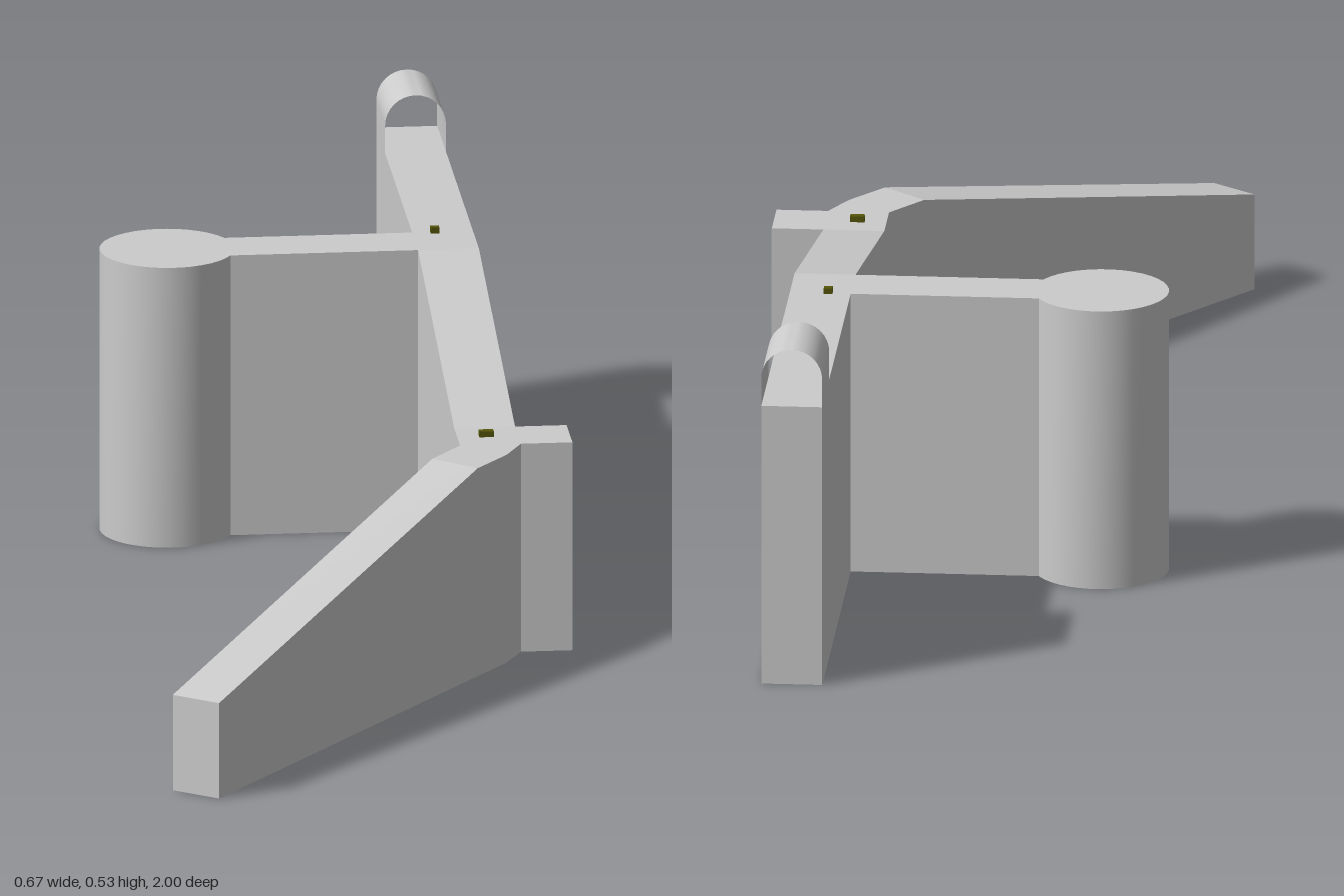
import * as THREE from 'three';
import { toCreasedNormals } from 'three/addons/utils/BufferGeometryUtils.js';

const grey = new THREE.MeshStandardMaterial({ color: 0xcccccc, side: THREE.DoubleSide });
const olive = new THREE.MeshStandardMaterial({ color: 0x55550a });

function surface(name, positions) {
  const g = new THREE.BufferGeometry();
  g.setAttribute('position', new THREE.Float32BufferAttribute(positions, 3));
  const mesh = new THREE.Mesh(toCreasedNormals(g, 0.5), grey);
  mesh.name = name;
  return mesh;
}

const quad = (a, b, c, d) => [...a, ...b, ...c, ...a, ...c, ...d];

// Upright faces below a run of [x, height, z] points
function walls(name, points) {
  const out = [];
  for (let i = 0; i + 1 < points.length; i++) {
    const p = points[i], q = points[i + 1];
    out.push(...quad([p[0], 0, p[2]], [q[0], 0, q[2]], q, p));
  }
  return surface(name, out);
}

// Top face over a loop of [x, height, z] points, facing up
function roof(name, points) {
  const flat = points.map(([x, , z]) => new THREE.Vector2(x, z));
  const out = [];
  for (const [a, b, c] of THREE.ShapeUtils.triangulateShape(flat, [])) {
    const up = THREE.ShapeUtils.area([flat[a], flat[b], flat[c]]) < 0;
    for (const i of up ? [a, b, c] : [a, c, b]) out.push(...points[i]);
  }
  return surface(name, out);
}

export function createModel() {
  const model = new THREE.Group();
  const X0 = 0.165, X1 = 0.257, HIGH = 0.44, LOW = 0.327, END = 0.15;

  // Round pier, open towards its connecting wall
  const pier = [], cx = -0.21, cz = -0.406, r = 0.102, gap = Math.asin(0.046 / r);
  for (let i = 0; i <= 32; i++) {
    const t = -gap - (i / 32) * 2 * (Math.PI - gap);
    pier.push([cx + r * Math.cos(t), HIGH, cz + r * Math.sin(t)]);
  }

  // Corners shared by walls and tops
  const spurBack = [X0, HIGH, -0.452], spurFront = [X0, HIGH, -0.36];
  const backIn = [X0, HIGH, -1], backOut = [X1, HIGH, -1];
  const slopeTop = [X1, HIGH, -0.36], slopeIn = [X0, LOW, 0.195], slopeOut = [X1, LOW, 0.195];
  const bendIn = [X0, LOW, 0.285], bendOut = [0.23, LOW, 0.34];
  const wingIn = [0.117, LOW, 0.349], wingOut = [0.18, LOW, 0.405];
  const tipIn = [-0.335, END, 0.95], tipOut = [-0.27, END, 1];
  const block = [[X1, LOW, 0.285], [0.335, LOW, 0.285], [0.335, LOW, 0.195], slopeOut];

  model.add(
    walls('spurAndPierWall', [spurBack, ...pier, spurFront]),
    walls('mainWall', [spurFront, slopeIn, bendIn]),
    walls('wingWall', [bendIn, wingIn, tipIn, tipOut, wingOut, bendOut, block[0]]),
    walls('buttress', block),
    walls('outerWall', [slopeOut, slopeTop, backOut, backIn, spurBack]),
    roof('upperTop', [backIn, spurBack, ...pier, spurFront, slopeTop, backOut]),
    roof('slopingTop', [spurFront, slopeIn, slopeOut, slopeTop]),
    roof('lowerTop', [slopeIn, bendIn, wingIn, wingOut, bendOut, ...block]),
    roof('wingTop', [wingIn, tipIn, tipOut, wingOut]),
  );

  // Open-ended arched hood at the back of the main wall
  const half = (X1 - X0) / 2, mid = (X0 + X1) / 2, spring = 0.484;
  const profile = [[X1, HIGH]];
  for (let i = 0; i <= 16; i++) {
    const t = (i / 16) * Math.PI;
    profile.push([mid + half * Math.cos(t), spring + half * Math.sin(t)]);
  }
  profile.push([X0, HIGH]);
  const hood = [];
  for (let i = 0; i + 1 < profile.length; i++) {
    const [p, q] = [profile[i], profile[i + 1]];
    hood.push(...quad([...p, -0.865], [...p, -1], [...q, -1], [...q, -0.865]));
  }
  model.add(surface('archedHood', hood));

  // Small fittings on the tops
  for (const [x, y, z, w] of [[0.199, HIGH, -0.45, 0.013], [0.209, LOW, 0.24, 0.022]]) {
    const fitting = new THREE.Mesh(new THREE.BoxGeometry(w, 0.009, 0.012), olive);
    fitting.position.set(x, y + 0.0045, z);
    fitting.name = 'topFitting';
    model.add(fitting);
  }
  return model;
}
